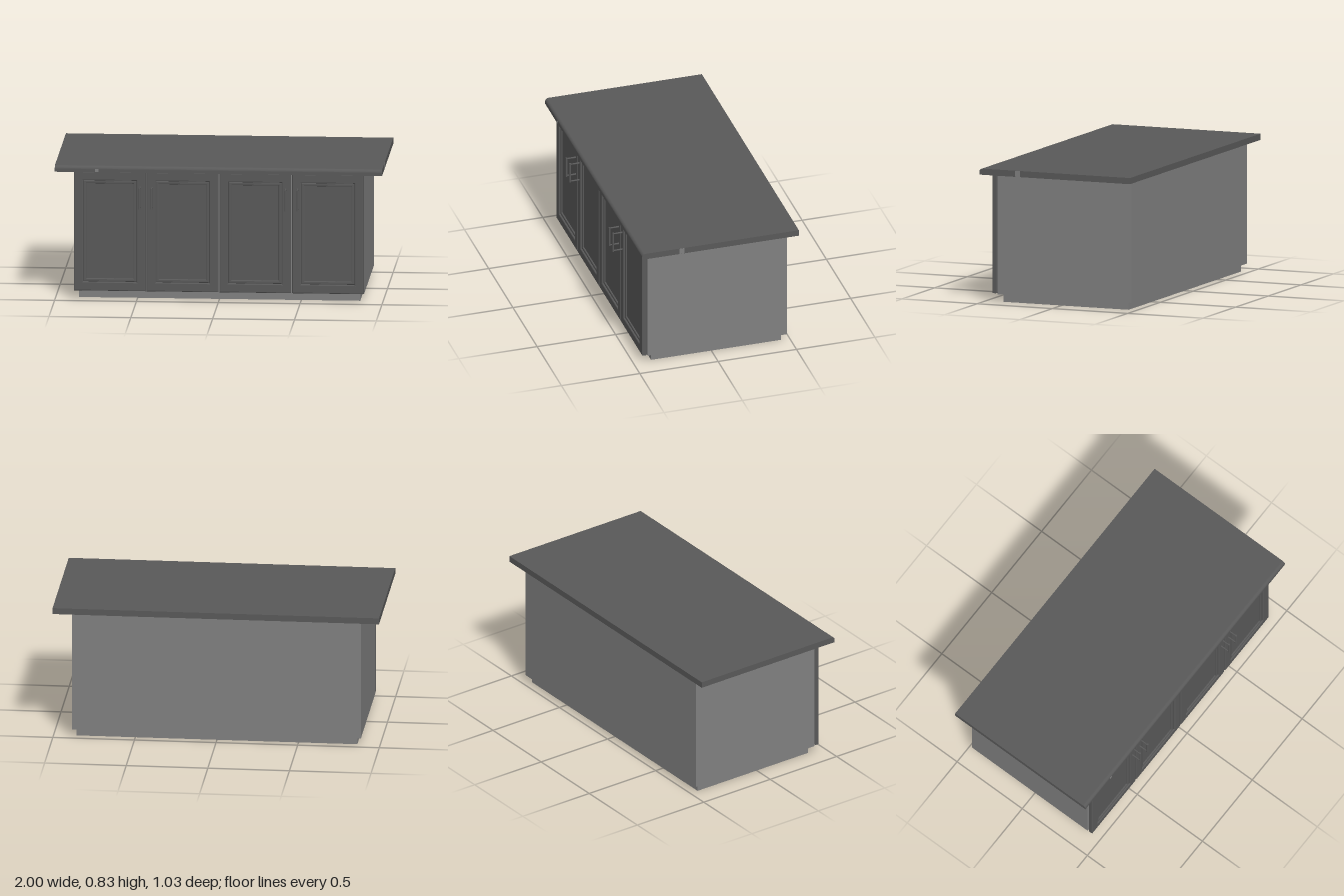
import * as THREE from 'three';

const counterGrey = new THREE.MeshStandardMaterial({ color: 0x595959 });
counterGrey.name = 'dark grey';
const bodyGrey = new THREE.MeshStandardMaterial({ color: 0x808080 });
bodyGrey.name = 'mid grey';

function add(parent, name, geometry, material, x = 0, y = 0, z = 0) {
  const mesh = new THREE.Mesh(geometry, material);
  mesh.name = name;
  mesh.position.set(x, y, z);
  parent.add(mesh);
  return mesh;
}

// Box given by its lower and upper corners
function box(parent, name, material, a, b) {
  const size = b.map((v, i) => v - a[i]);
  const mid = b.map((v, i) => (v + a[i]) / 2);
  return add(parent, name, new THREE.BoxGeometry(...size), material, ...mid);
}

function rectangle(w, h, Type = THREE.Shape) {
  const p = new Type();
  p.moveTo(-w / 2, -h / 2);
  p.lineTo(w / 2, -h / 2);
  p.lineTo(w / 2, h / 2);
  p.lineTo(-w / 2, h / 2);
  p.closePath();
  return p;
}

// Rectangular frame with chamfered edges, its back at z = 0
function frame(w, h, border, depth, bevel) {
  const shape = rectangle(w, h);
  shape.holes.push(rectangle(w - 2 * border, h - 2 * border, THREE.Path));
  const geometry = new THREE.ExtrudeGeometry(shape, {
    depth: depth - 2 * bevel, bevelThickness: bevel, bevelSize: bevel,
    bevelOffset: -bevel, bevelSegments: 2,
  });
  return geometry.translate(0, 0, bevel);
}

// Door with a framed, recessed panel
function createDoor(x) {
  const door = new THREE.Group();
  door.name = 'door';
  const w = 0.438, h = 0.742;
  add(door, 'doorFrame', frame(w, h, 0.056, 0.03, 0.006), counterGrey);
  add(door, 'panelMoulding', frame(w - 0.112, h - 0.112, 0.02, 0.022, 0.005), counterGrey);
  box(door, 'doorPanel', counterGrey, [-w / 2 + 0.05, -h / 2 + 0.05, 0.002], [w / 2 - 0.05, h / 2 - 0.05, 0.013]);
  door.position.set(x, 0.424, 0.42);
  return door;
}

// Bar handle on two posts
function createHandle(x) {
  const handle = new THREE.Group();
  handle.name = 'handle';
  add(handle, 'handleBar', new THREE.CylinderGeometry(0.006, 0.006, 0.13, 12), counterGrey, 0, 0, 0.059);
  for (const y of [-0.059, 0.059]) {
    const post = add(handle, 'handlePost', new THREE.CylinderGeometry(0.004, 0.006, 0.062, 12), counterGrey, 0, y, 0.029);
    post.rotation.x = Math.PI / 2;
  }
  handle.position.set(x, 0.64, 0.45);
  return handle;
}

// Countertop profile (z, y) with a rounded upper front edge, swept along x
function createCountertop() {
  const back = -0.515, front = 0.485, low = 0.797, high = 0.835, r = 0.02;
  const profile = new THREE.Shape();
  profile.moveTo(back, low);
  profile.lineTo(front, low);
  profile.lineTo(front, high - r);
  profile.absarc(front - r, high - r, r, 0, Math.PI / 2, false);
  profile.lineTo(back, high);
  profile.closePath();
  const geometry = new THREE.ExtrudeGeometry(profile, { depth: 2, bevelEnabled: false, curveSegments: 6 });
  return geometry.translate(0, 0, -1).rotateY(-Math.PI / 2).scale(-1, 1, 1);
}

export function createModel() {
  const model = new THREE.Group();
  model.name = 'kitchenIsland';

  box(model, 'plinth', bodyGrey, [-0.86, 0, -0.445], [0.86, 0.05, 0.385]);
  box(model, 'cabinetBody', bodyGrey, [-0.885, 0.048, -0.475], [0.885, 0.798, 0.415]);

  // Sweep is turned so the profile's z stays z
  const top = createCountertop();
  top.scale(-1, 1, 1);
  add(model, 'countertop', top, counterGrey);

  for (const side of [-1, 1]) {
    for (const x of [0.222, 0.666]) model.add(createDoor(side * x));
    for (const x of [0.408, 0.481]) model.add(createHandle(side * x));
  }

  // Small light marks on the countertop edge
  box(model, 'frontEdgeMark', bodyGrey, [-0.755, 0.799, 0.484], [-0.732, 0.817, 0.486]);
  box(model, 'sideEdgeMark', bodyGrey, [0.999, 0.798, 0.215], [1.0005, 0.834, 0.248]);
  return model;
}
